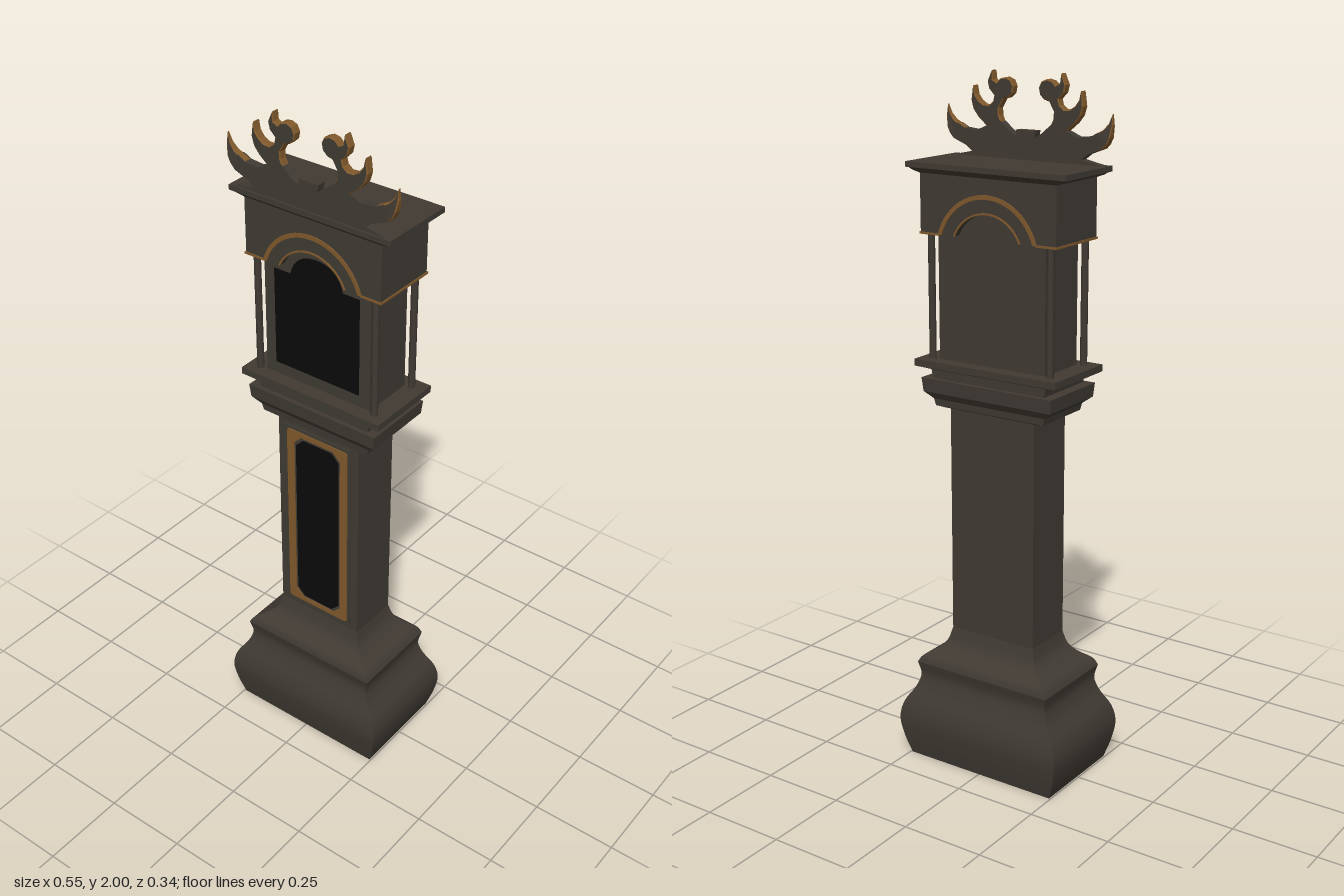
import * as THREE from 'three';

const paint = (name, color, side = THREE.FrontSide) => {
  const m = new THREE.MeshStandardMaterial({ color, side });
  m.name = name;
  return m;
};

export function createModel() {
  const root = new THREE.Group();
  root.name = 'longcaseClock';
  const wood = paint('dark wood', 0x403a33, THREE.DoubleSide);
  const gold = paint('old gold', 0x80592c);
  const black = paint('black glass', 0x0a0a0a);

  const add = (name, geo, mat, x = 0, y = 0, z = 0) => {
    const m = new THREE.Mesh(geo, mat);
    m.name = name;
    m.position.set(x, y, z);
    root.add(m);
    return m;
  };
  const box = (name, mat, w, y0, y1, d, x = 0, z = 0) =>
    add(name, new THREE.BoxGeometry(w, y1 - y0, d), mat, x, (y0 + y1) / 2, z);
  const shapeOf = pts => new THREE.Shape(pts.map(p => new THREE.Vector2(p[0], p[1])));
  const plate = (shape, depth, extra = {}) =>
    new THREE.ExtrudeGeometry(shape, { depth, bevelEnabled: false, curveSegments: 24, ...extra });

  // Rectangular rings [y, halfWidth, halfDepth] joined into four walls
  const loft = (rings, smooth, capTop) => {
    const pos = [], idx = [], n = rings.length;
    const corners = [[1, 1], [1, -1], [-1, -1], [-1, 1], [1, 1]];
    for (let s = 0; s < 4; s++) {
      const base = pos.length / 3;
      rings.forEach(([y, w, d]) => {
        for (const c of [corners[s], corners[s + 1]]) pos.push(c[0] * w, y, c[1] * d);
      });
      for (let i = 0; i < n - 1; i++) {
        const a = base + i * 2;
        idx.push(a, a + 1, a + 3, a, a + 3, a + 2);
      }
    }
    const cap = (r, up) => {
      const b = pos.length / 3;
      for (let i = 0; i < 4; i++) pos.push(corners[i][0] * r[1], r[0], corners[i][1] * r[2]);
      idx.push(...(up ? [b, b + 1, b + 2, b, b + 2, b + 3] : [b, b + 2, b + 1, b, b + 3, b + 2]));
    };
    if (capTop) { cap(rings[n - 1], true); cap(rings[0], false); }
    let g = new THREE.BufferGeometry();
    g.setAttribute('position', new THREE.Float32BufferAttribute(pos, 3));
    g.setIndex(idx);
    if (!smooth) g = g.toNonIndexed();
    g.computeVertexNormals();
    return g;
  };

  // Swelling hollow base: bulge, then a cove up to the trunk
  const curve = (pts, n) => new THREE.CatmullRomCurve3(pts.map(p => new THREE.Vector3(p[1], p[0], p[2])))
    .getPoints(n).map(v => [v.y, v.x, v.z]);
  add('bulgingBase', loft(curve([[0, 0.245, 0.15], [0.06, 0.264, 0.163], [0.12, 0.273, 0.17],
    [0.17, 0.262, 0.162], [0.22, 0.231, 0.143], [0.26, 0.218, 0.134], [0.3, 0.225, 0.142]], 24), true), wood);
  add('baseCove', loft(curve([[0.3, 0.225, 0.142], [0.32, 0.212, 0.135], [0.345, 0.175, 0.107],
    [0.37, 0.152, 0.09], [0.41, 0.14, 0.079]], 14), true), wood);

  // Trunk and its glazed door
  box('trunk', wood, 0.28, 0.4, 1.1, 0.158);
  const chamfered = (w, y0, y1, c) => [[-w + c, y0], [w - c, y0], [w, y0 + c], [w, y1 - c],
    [w - c, y1], [-w + c, y1], [-w, y1 - c], [-w, y0 + c]];
  box('doorPanel', wood, 0.23, 0.43, 1.06, 0.006, 0, 0.08);
  const frame = shapeOf(chamfered(0.106, 0.437, 1.05, 0.006));
  frame.holes.push(new THREE.Path(chamfered(0.081, 0.452, 1.034, 0.025).map(p => new THREE.Vector2(...p))));
  add('doorGoldFrame', plate(frame, 0.004), gold, 0, 0, 0.082);
  add('doorGlass', plate(shapeOf(chamfered(0.075, 0.458, 1.026, 0.025)), 0.003), black, 0, 0, 0.082);

  // Stepped moulding between trunk and hood
  add('waistMoulding', loft([[1.08, 0.145, 0.085], [1.085, 0.18, 0.095], [1.105, 0.185, 0.097],
    [1.125, 0.212, 0.11], [1.165, 0.216, 0.113], [1.165, 0.185, 0.1], [1.19, 0.19, 0.1],
    [1.198, 0.234, 0.121], [1.218, 0.234, 0.121]], false, true), wood);

  // Hood case with arched dial window
  box('hoodCase', wood, 0.35, 1.21, 1.72, 0.16);
  const dial = new THREE.Shape();
  dial.moveTo(-0.14, 1.255);
  dial.lineTo(0.14, 1.255);
  dial.lineTo(0.14, 1.545);
  dial.lineTo(0.085, 1.545);
  dial.bezierCurveTo(0.075, 1.595, 0.04, 1.612, 0, 1.612);
  dial.bezierCurveTo(-0.04, 1.612, -0.075, 1.595, -0.085, 1.545);
  dial.lineTo(-0.14, 1.545);
  add('dialWindow', plate(dial, 0.004), black, 0, 0, 0.079);
  for (const x of [-0.195, 0.195]) for (const z of [-0.085, 0.085]) {
    add('cornerColumn', new THREE.CylinderGeometry(0.01, 0.01, 0.37, 12), wood, x, 1.395, z);
  }

  // Frieze, cut by an arch front and back
  const cy = 1.525, yb = 1.572;
  const arcPoints = (r, y) => {
    const a = Math.asin((y - cy) / r);
    return Array.from({ length: 25 }, (_, i) => {
      const t = Math.PI - a - (Math.PI - 2 * a) * i / 24;
      return [Math.cos(t) * r, cy + Math.sin(t) * r];
    });
  };
  add('frieze', plate(shapeOf([[-0.22, yb], ...arcPoints(0.115, yb), [0.22, yb], [0.22, 1.74], [-0.22, 1.74]]), 0.2),
    wood, 0, 0, -0.1);
  const band = (r0, r1) => shapeOf([...arcPoints(r1, yb), ...arcPoints(r0, yb).reverse()]);
  for (const z of [0.099, -0.103]) {
    add('outerArchTrim', plate(band(0.155, 0.167), 0.004), gold, 0, 0, z);
    add('innerArchTrim', plate(band(0.114, 0.119), 0.004), gold, 0, 0, z);
    for (const s of [-1, 1]) box('friezeEdgeTrim', gold, 0.065, yb - 0.003, yb + 0.003, 0.004, s * 0.19, z + 0.002);
  }
  for (const s of [-1, 1]) box('friezeSideTrim', gold, 0.004, yb - 0.003, yb + 0.003, 0.206, s * 0.221);

  // Crown slab
  add('crown', loft([[1.735, 0.22, 0.1], [1.742, 0.24, 0.106], [1.75, 0.25, 0.113], [1.75, 0.257, 0.117],
    [1.765, 0.257, 0.117]], false, true), wood);

  // Carved crest: dark plate with gilt-edged horns and scroll heads
  const plateHalf = [[0, 1.765], [0.24, 1.765], [0.178, 1.778], [0.198, 1.793], [0.242, 1.81], [0.228, 1.852],
    [0.205, 1.84], [0.163, 1.836], [0.13, 1.85], [0.085, 1.867], [0.053, 1.84], [0.028, 1.825], [0.032, 1.845], [0, 1.845]];
  const outerHorn = [[0.225, 1.803], [0.244, 1.81], [0.256, 1.823], [0.264, 1.84], [0.269, 1.87], [0.267, 1.902],
    [0.257, 1.877], [0.242, 1.86], [0.205, 1.84]];
  const scrollHead = [[0.13, 1.85], [0.158, 1.873], [0.174, 1.893], [0.181, 1.917], [0.174, 1.957], [0.168, 1.933],
    [0.156, 1.917], [0.14, 1.907], [0.122, 1.906], [0.108, 1.917], [0.104, 1.933], [0.121, 1.95], [0.126, 1.97],
    [0.112, 2.0], [0.108, 1.975], [0.095, 1.968], [0.084, 1.979], [0.066, 1.983], [0.049, 1.976], [0.041, 1.96],
    [0.045, 1.941], [0.058, 1.929], [0.074, 1.925], [0.089, 1.9], [0.088, 1.88], [0.08, 1.862]];
  const bevel = { bevelEnabled: true, bevelThickness: 0.003, bevelSize: 0.003, bevelOffset: -0.003, bevelSegments: 1 };
  for (const s of [-1, 1]) {
    const half = pts => shapeOf(pts.map(([x, y]) => [s * x, y]));
    add('crestPlate', plate(half(plateHalf), 0.026), wood, 0, 0, 0.085);
    const horn = plate(half(outerHorn), 0.02, bevel);
    const p = horn.attributes.position;
    // thin the horn towards its tip
    for (let i = 0; i < p.count; i++) {
      const t = THREE.MathUtils.clamp((1.91 - p.getY(i)) / 0.07, 0.25, 1);
      p.setZ(i, 0.01 + (p.getZ(i) - 0.01) * t);
    }
    horn.computeVertexNormals();
    add('outerHorn', horn, [wood, gold], 0, 0, 0.088);
    add('scrollHead', plate(half(scrollHead), 0.02, bevel), [wood, gold], 0, 0, 0.088);
  }
  return root;
}
